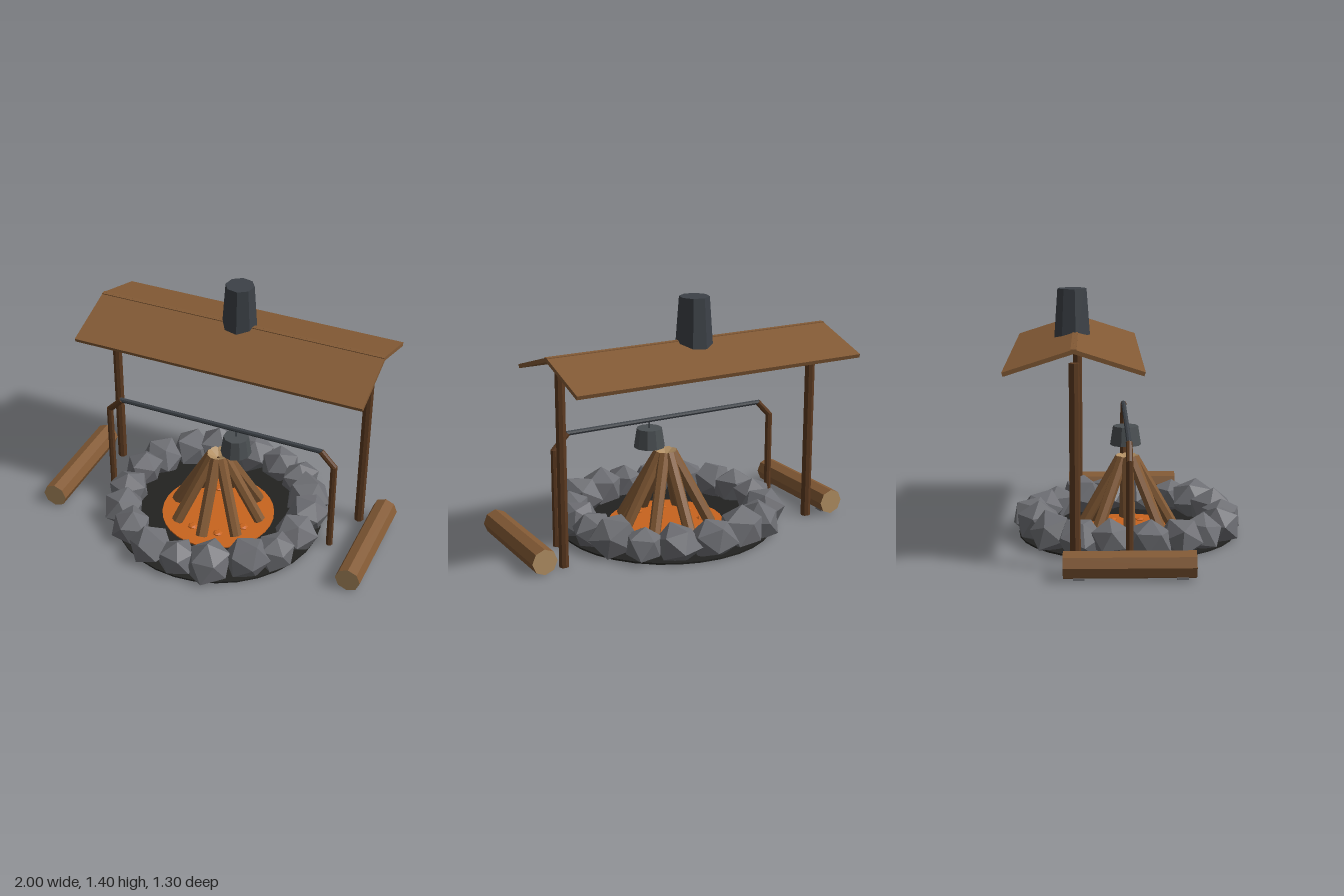
import * as THREE from 'three';
import { mergeVertices } from 'three/addons/utils/BufferGeometryUtils.js';

const mat = (name, color, flatShading = true) => {
  const m = new THREE.MeshStandardMaterial({ color, flatShading });
  m.name = name;
  return m;
};

// Small seeded generator for the stones
function seeded(seed) {
  return () => {
    seed = (seed * 16807) % 2147483647;
    return seed / 2147483647;
  };
}

export function createModel() {
  const wood = mat('wood', 0x835a35);
  const darkWood = mat('dark wood', 0x5c3a20);
  const cutWood = mat('cut wood', 0xb08e62);
  const stone = mat('stone', 0x6e6f74);
  const iron = mat('dark iron', 0x3c4147);
  const potIron = mat('pot iron', 0x4a4f52);
  const ash = mat('ash', 0x222220);
  const ember = mat('ember', 0xc8641e);

  const model = new THREE.Group();
  const rand = seeded(4217);
  const add = (name, geometry, material, x = 0, y = 0, z = 0, parent = model) => {
    const mesh = new THREE.Mesh(geometry, material);
    mesh.name = name;
    mesh.position.set(x, y, z);
    parent.add(mesh);
    return mesh;
  };
  // Round pole between two points
  const pole = (name, a, b, r, material, sides = 8, parent = model) => {
    const from = new THREE.Vector3(...a), to = new THREE.Vector3(...b);
    const dir = to.clone().sub(from);
    const mid = from.clone().add(to).multiplyScalar(0.5);
    const mesh = add(name, new THREE.CylinderGeometry(r, r, dir.length(), sides), material, mid.x, mid.y, mid.z, parent);
    mesh.quaternion.setFromUnitVectors(new THREE.Vector3(0, 1, 0), dir.normalize());
    return mesh;
  };

  // Fire bed
  add('ashBed', new THREE.CylinderGeometry(0.62, 0.62, 0.01, 32), ash, 0, 0.02, 0);
  add('emberBed', new THREE.CylinderGeometry(0.335, 0.335, 0.01, 32), ember, 0, 0.028, 0);
  for (let i = 0; i < 8; i++) {
    const a = (i + 0.5) * Math.PI / 4;
    const coal = add('coal', new THREE.IcosahedronGeometry(0.03, 0), ember, Math.sin(a) * 0.21, 0.035, Math.cos(a) * 0.21);
    coal.scale.y = 0.4;
  }

  // Ring of faceted stones, flattened where they meet the ground
  const ring = new THREE.Group();
  ring.name = 'stoneRing';
  model.add(ring);
  const count = 18;
  for (let i = 0; i < count; i++) {
    const raw = new THREE.IcosahedronGeometry(1, 0);
    raw.deleteAttribute('normal');
    raw.deleteAttribute('uv');
    const g = mergeVertices(raw);
    const size = 0.118 + rand() * 0.022;
    g.rotateX(rand() * 6).rotateY(rand() * 6);
    const p = g.attributes.position;
    const cy = 0.095 + rand() * 0.025;
    for (let j = 0; j < p.count; j++) {
      const k = size * (0.88 + rand() * 0.24);
      p.setXYZ(j, p.getX(j) * k, Math.max(p.getY(j) * k * 0.95, 0.015 - cy), p.getZ(j) * k);
    }
    g.computeVertexNormals();
    const a = (i + (rand() - 0.5) * 0.3) / count * Math.PI * 2;
    const d = 0.545 + (rand() - 0.5) * 0.03;
    add('stone', g, stone, Math.sin(a) * d, cy, Math.cos(a) * d, ring);
  }

  // Leaning firewood
  const stack = new THREE.Group();
  stack.name = 'firewood';
  model.add(stack);
  for (let i = 0; i < 8; i++) {
    const a = i * Math.PI / 4 + 0.03, s = Math.sin(a), c = Math.cos(a);
    pole('fireLog', [s * 0.265, 0.045, c * 0.265], [s * 0.036, 0.45, c * 0.036], 0.035, [wood, cutWood, cutWood], 7, stack);
  }

  for (const s of [-1, 1]) {
    // Bench logs on low feet
    pole('benchLog', [s * 0.928, 0.09, -0.35], [s * 0.928, 0.09, 0.33], 0.073, [wood, cutWood, cutWood]);
    for (const z of [-0.27, 0.26])
      add('benchFoot', new THREE.BoxGeometry(0.06, 0.01, 0.06), stone, s * 0.928, 0.02, z);
    // Cooking frame sides
    pole('frameLeg', [s * 0.704, 0.015, -0.005], [s * 0.704, 0.58, -0.005], 0.02, darkWood);
    pole('frameBrace', [s * 0.708, 0.572, -0.005], [s * 0.622, 0.662, -0.005], 0.018, darkWood);
    // Shelter posts
    pole('shelterPost', [s * 0.79, 0.015, -0.288], [s * 0.79, 1.105, -0.288], 0.028, darkWood);
    // Roof boards, one per slope
    const board = add('roofBoard', new THREE.BoxGeometry(1.73, 0.022, 0.378), wood, 0, 1.115, -0.29 + s * 0.178);
    board.rotation.x = s * 0.31;
  }
  add('roofRidge', new THREE.BoxGeometry(1.73, 0.02, 0.03), wood, 0, 1.173, -0.29);

  // Chimney
  add('chimney', new THREE.CylinderGeometry(0.083, 0.106, 0.32, 8), iron, -0.003, 1.26, -0.308).rotation.y = 0.2;

  // Cooking bar, hook and pot
  pole('cookingBar', [-0.63, 0.662, -0.005], [0.63, 0.662, -0.005], 0.014, iron);
  pole('potHook', [0.11, 0.61, -0.005], [0.11, 0.66, -0.005], 0.004, iron, 6);
  add('pot', new THREE.CylinderGeometry(0.073, 0.09, 0.11, 10), potIron, 0.11, 0.56, -0.005);

  return model;
}
